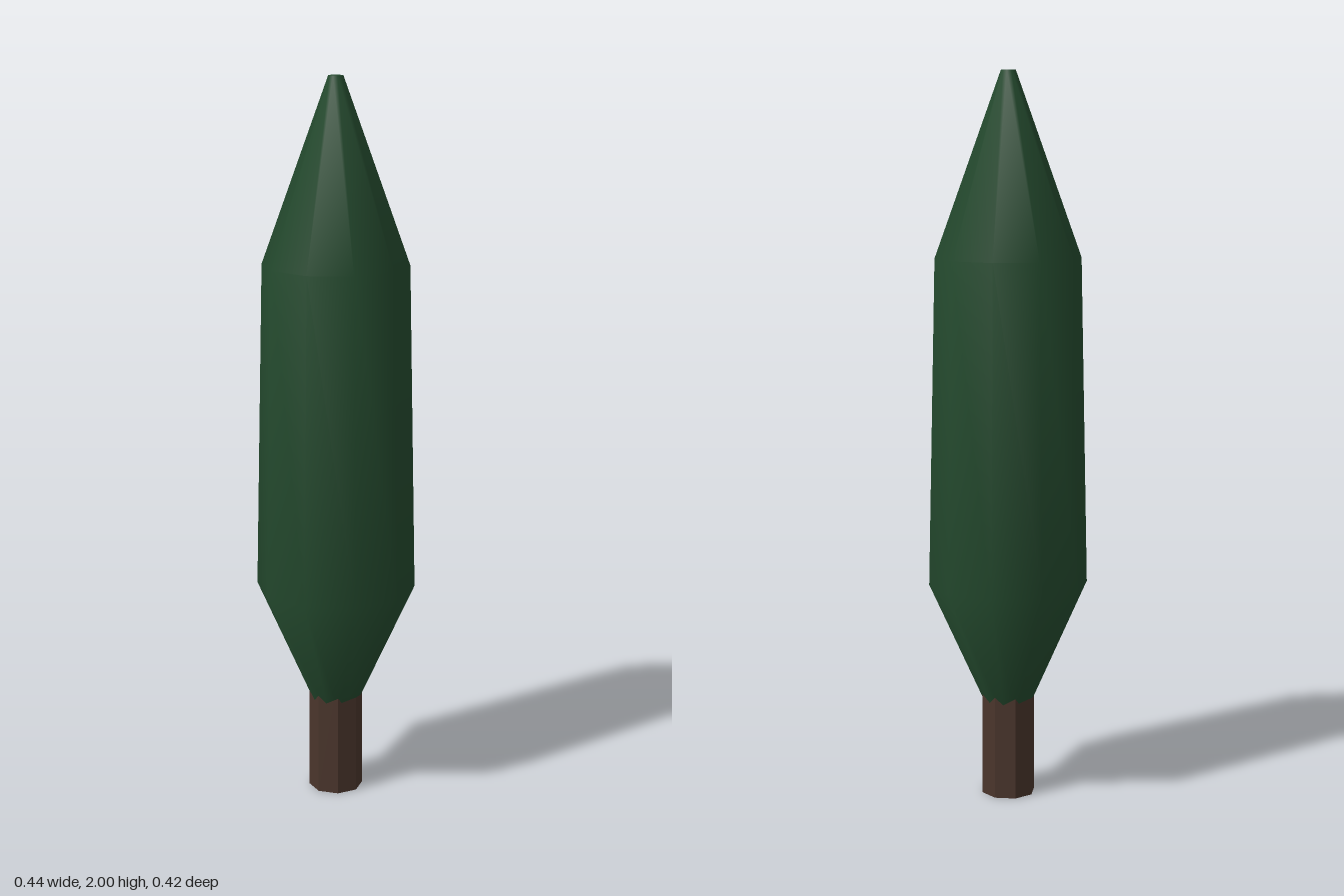
import * as THREE from 'three';

export function createModel() {
  const group = new THREE.Group();
  const leafGreen = new THREE.MeshStandardMaterial({ name: 'leafGreen', color: 0x244a2e });
  const barkBrown = new THREE.MeshStandardMaterial({ name: 'barkBrown', color: 0x4a352c, flatShading: true });

  // Trunk: faceted octagonal post reaching up into the foliage
  const trunk = new THREE.Mesh(new THREE.CylinderGeometry(0.075, 0.075, 0.36, 8), barkBrown);
  trunk.name = 'trunk';
  trunk.position.y = 0.18;
  group.add(trunk);

  // Foliage: ten-sided column tapering at both ends, a corner on the x axis
  const profile = [[0.05, 0.225], [0.22, 0.6], [0.2, 1.5], [0.02, 2]]
    .map(([r, y]) => new THREE.Vector2(r, y));
  const foliage = new THREE.Mesh(new THREE.LatheGeometry(profile, 10, Math.PI / 2), leafGreen);
  foliage.name = 'foliage';
  group.add(foliage);

  // Flat cap closing the blunt tip
  const tip = new THREE.Mesh(new THREE.CircleGeometry(0.02, 10), leafGreen);
  tip.name = 'foliageTip';
  tip.rotation.x = -Math.PI / 2;
  tip.position.y = 2;
  group.add(tip);

  return group;
}
